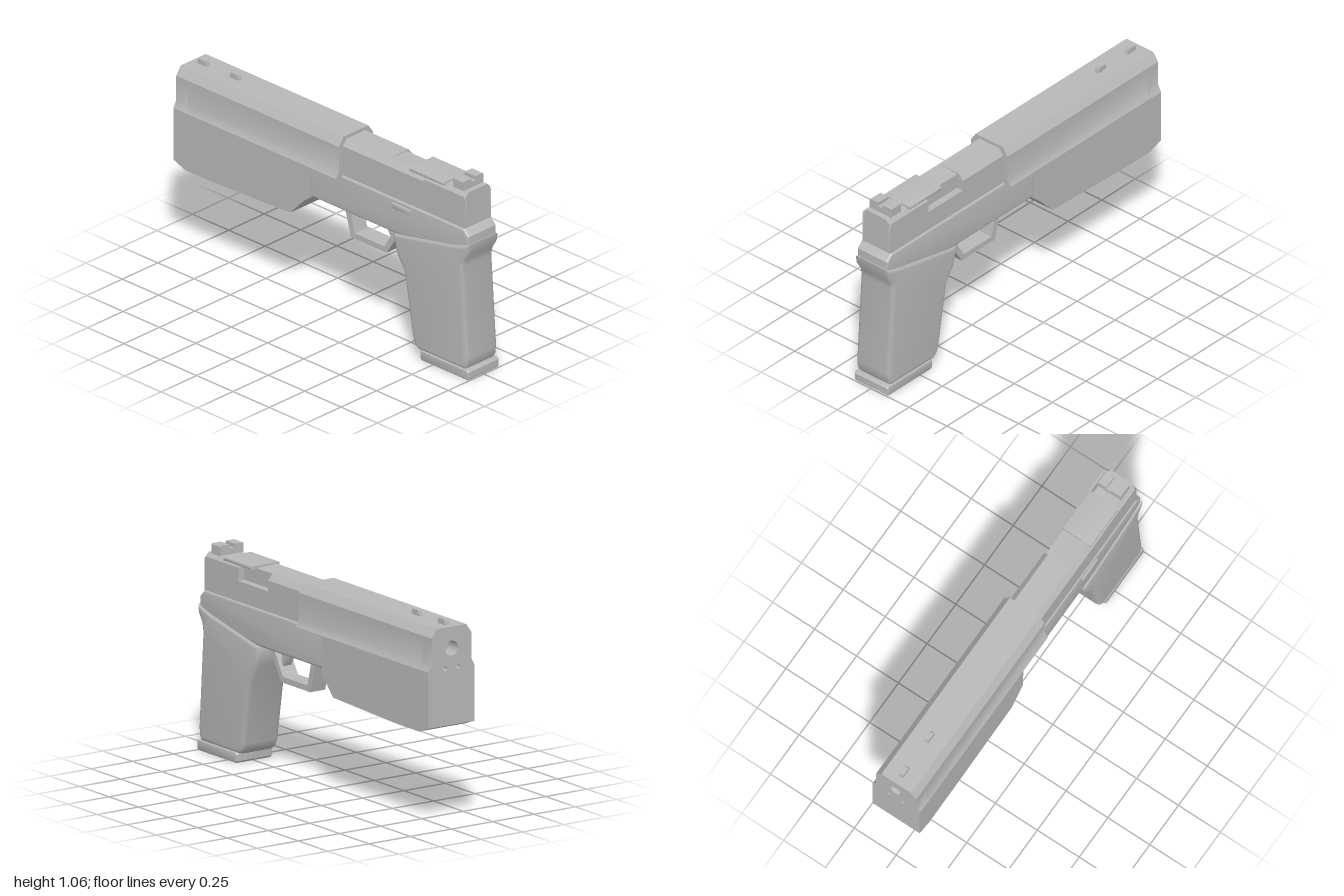
import * as THREE from 'three';
import { toCreasedNormals } from 'three/addons/utils/BufferGeometryUtils.js';

const grey = new THREE.MeshStandardMaterial({ color: 0xb8b8b8 });
grey.name = 'matte grey';

const toShape = (pts, holes = []) => {
  const shape = new THREE.Shape(pts.map(([a, b]) => new THREE.Vector2(a, b)));
  shape.holes = holes;
  return shape;
};
const pathOf = (pts) => new THREE.Path(pts.map(([a, b]) => new THREE.Vector2(a, b)));
const circle = (x, y, r) => new THREE.Path().absarc(x, y, r, 0, Math.PI * 2, true);

// Extrudes a shape so that it fills the depth d0..d1, edges optionally rounded
function extrude(shape, d0, d1, bevel = 0) {
  const geo = new THREE.ExtrudeGeometry(shape, {
    depth: d1 - d0 - 2 * bevel, curveSegments: 16, bevelEnabled: bevel > 0,
    bevelThickness: bevel, bevelSize: bevel, bevelOffset: -bevel, bevelSegments: 4,
  });
  geo.translate(0, 0, d0 + bevel);
  return geo;
}

export function createModel() {
  const model = new THREE.Group();
  const add = (name, geo) => {
    const mesh = new THREE.Mesh(toCreasedNormals(geo, 0.6), grey);
    mesh.name = name;
    model.add(mesh);
    return mesh;
  };
  // Side profile given as (z, y), running from x0 to x1
  const side = (name, pts, x0, x1, bevel = 0, holes = []) => {
    const flip = (list) => list.map(([z, y]) => [-z, y]);
    const shape = toShape(flip(pts), holes.map((h) => pathOf(flip(h))));
    return add(name, extrude(shape, x0, x1, bevel).rotateY(Math.PI / 2));
  };
  // Cross-section given as (x, y), running from z0 to z1
  const section = (name, pts, z0, z1, holes = []) =>
    add(name, extrude(toShape(pts, holes), z0, z1));
  const mirrored = (half) => [...half, ...half.map(([x, y]) => [-x, y]).reverse()];

  // Front shroud: upper sleeve
  const sleeve = [[0.14, 0.815], [0.12, 0.85], [0.12, 0.985], [0.088, 1.03]];
  section('upperSleeve', mirrored(sleeve), -0.92, 0.12);

  // Front shroud: end block with bore and two small holes
  const endGeo = extrude(
    toShape(mirrored([[0.134, 0.5], [0.134, 0.815], ...sleeve]), [
      circle(0, 0.92, 0.038), circle(-0.04, 0.82, 0.011), circle(0.04, 0.82, 0.011),
    ]), -1, -0.92);
  const p = endGeo.attributes.position;
  for (let i = 0; i < p.count; i++) {
    if (p.getZ(i) < -0.99 && p.getY(i) < 0.51) p.setY(i, 0.53);
  }
  endGeo.computeVertexNormals();
  add('endBlock', endGeo);

  // Front shroud: lower body and side skins with recessed panels
  const belly = [[-0.195, 0.52], [-0.1, 0.62], [-0.095, 0.815]];
  side('lowerBody', [[-0.92, 0.815], [-0.92, 0.5], [-0.75, 0.5], ...belly], -0.134, 0.134);
  const skin = [[-1, 0.815], [-1, 0.53], [-0.92, 0.5], [-0.75, 0.5], ...belly];
  const panels = [
    [[-0.12, 0.74], [-0.19, 0.785], [-0.5, 0.785], [-0.475, 0.59], [-0.21, 0.56], [-0.125, 0.64]],
    [[-0.53, 0.785], [-0.745, 0.785], [-0.71, 0.59], [-0.505, 0.61]],
    [[-0.775, 0.785], [-0.97, 0.785], [-0.96, 0.59], [-0.775, 0.62]],
  ];
  side('leftShroudSkin', skin, 0.134, 0.14, 0, panels);
  side('rightShroudSkin', skin, -0.14, -0.134, 0, panels);

  // Front sight blades
  for (const z of [-0.71, -0.93]) {
    side('frontSight', [[z - 0.03, 1.025], [z + 0.03, 1.025], [z + 0.03, 1.04],
      [z + 0.022, 1.058], [z - 0.022, 1.058], [z - 0.03, 1.04]], -0.012, 0.012);
  }

  // Slide: front, open port and rear core
  section('slideFront', mirrored([[0.092, 0.82], [0.092, 0.98], [0.065, 1.012]]), 0.1, 0.42);
  section('slidePort', [[-0.092, 0.82], [0.092, 0.82], [0.092, 0.925], [0.055, 0.925],
    [0.055, 1.005], [-0.065, 1.012], [-0.092, 0.98]], 0.42, 0.675);
  section('slideRear', mirrored([[0.082, 0.82], [0.082, 0.99], [0.065, 1.01]]), 0.675, 0.96);

  // Slide: grooved rear sides
  const cheek = [[0.675, 0.82], [0.96, 0.82], [0.96, 0.975], [0.95, 0.992], [0.675, 0.992]];
  const grooves = [];
  for (let i = 0; i < 5; i++) {
    const z = 0.935 - i * 0.05;
    grooves.push([[z, 0.905], [z - 0.045, 0.985], [z - 0.061, 0.985], [z - 0.016, 0.905]]);
  }
  side('leftSlideCheek', cheek, 0.082, 0.092, 0, grooves);
  side('rightSlideCheek', cheek, -0.092, -0.082, 0, grooves);

  // Top cover plate and notched rear sight
  side('coverPlate', [[0.57, 1.0], [0.81, 1.0], [0.81, 1.018], [0.57, 1.018]], -0.086, 0.086, 0.004);
  section('rearSight', mirrored([[0.07, 1.008], [0.07, 1.055], [0.066, 1.06],
    [0.015, 1.06], [0.015, 1.04]]), 0.855, 0.93);

  // Frame with slide lever
  side('frame', [[-0.1, 0.63], [-0.1, 0.82], [0.955, 0.82], [0.99, 0.785], [0.99, 0.74],
    [0.9, 0.66], [0.5, 0.63]], -0.1, 0.1, 0.012);
  side('slideLever', [[0.47, 0.77], [0.6, 0.77], [0.6, 0.798], [0.47, 0.798]], -0.11, -0.09, 0.004);

  // Grip and base plate
  side('grip', [[1, 0.745], [0.89, 0.715], [0.485, 0.632], [0.48, 0.61], [0.5, 0.525],
    [0.553, 0.445], [0.61, 0.107], [0.625, 0.07], [0.65, 0.05], [0.97, 0.05], [0.985, 0.075],
    [0.99, 0.12], [0.957, 0.61], [0.965, 0.65], [0.995, 0.7]], -0.11, 0.11, 0.022);
  side('basePlate', [[0.665, 0.01], [0.675, 0], [0.99, 0], [1, 0.01], [1, 0.045], [0.99, 0.056],
    [0.675, 0.056], [0.665, 0.045]], -0.11, 0.11, 0.009);

  // Trigger guard and trigger
  side('triggerGuard', [[0.49, 0.64], [0.375, 0.465], [0.13, 0.465], [0.08, 0.64], [0.118, 0.64],
    [0.155, 0.495], [0.36, 0.495], [0.45, 0.64]], -0.045, 0.045);
  side('trigger', [[0.42, 0.64], [0.355, 0.64], [0.365, 0.58], [0.395, 0.53], [0.41, 0.54],
    [0.395, 0.585]], -0.025, 0.025);

  return model;
}
